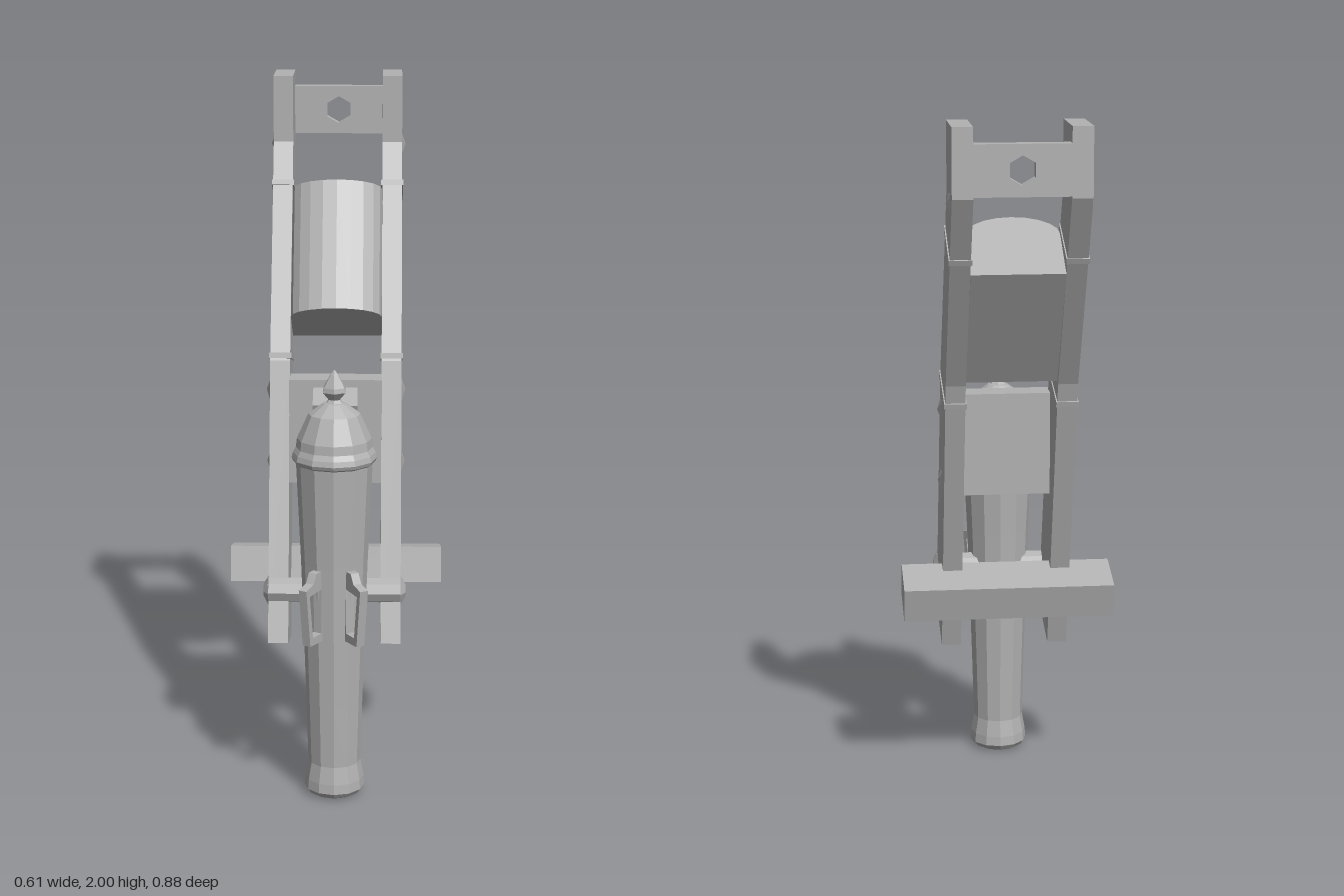
import * as THREE from 'three';

export function createModel() {
  const model = new THREE.Group();
  model.name = 'cannonOnCarriage';
  const grey = new THREE.MeshStandardMaterial({ color: 0xb2b2b2, flatShading: true });
  grey.name = 'plain grey';

  const add = (name, geometry, x = 0, y = 0, z = 0) => {
    const mesh = new THREE.Mesh(geometry, grey);
    mesh.name = name;
    mesh.position.set(x, y, z);
    model.add(mesh);
    return mesh;
  };
  const shapeOf = pts => new THREE.Shape(pts.map(p => new THREE.Vector2(...p)));
  const extrude = (shape, depth) => new THREE.ExtrudeGeometry(shape, { depth, bevelEnabled: false });
  // Plate drawn as (z, y) points, with its thickness centred along x
  const sidePlate = (shape, width) => extrude(shape, width).translate(0, 0, -width / 2).rotateY(-Math.PI / 2);

  // Barrel standing muzzle down
  const AXIS = 0.29;
  const lathe = (pts, sides) => new THREE.LatheGeometry(pts.map(p => new THREE.Vector2(...p)), sides);
  add('barrel', lathe([
    [0, 0.012], [0.06, 0], [0.076, 0.008], [0.086, 0.022], [0.084, 0.05], [0.075, 0.1], [0.08, 0.28],
    [0.089, 0.56], [0.094, 0.7], [0.107, 0.985], [0.115, 0.99], [0.119, 1.0],
    [0.115, 1.015], [0.107, 1.03], [0.104, 1.055], [0.072, 1.125], [0.03, 1.155], [0, 1.16],
  ], 12), 0, 0, AXIS);
  add('breechKnob', lathe([
    [0.03, 1.15], [0.017, 1.165], [0.036, 1.187], [0.033, 1.2], [0.012, 1.235], [0, 1.25],
  ], 6), 0, 0, AXIS);

  for (const s of [1, -1]) {
    // Cheek of the carriage
    add(s > 0 ? 'leftCheek' : 'rightCheek', sidePlate(shapeOf([
      [0.085, 0.4], [0.317, 0.46], [0.075, 1.225], [-0.24, 1.81],
      [-0.24, 2], [-0.44, 2], [-0.44, 1.81], [-0.153, 1.247],
    ]), 0.057), s * 0.159);

    // Iron straps around the cheek
    for (const [z1, y1, z2, y2] of [[0.073, 1.24, -0.141, 1.185], [-0.178, 1.7, -0.352, 1.628]]) {
      const strap = add('strap', new THREE.BoxGeometry(0.064, 0.016, Math.hypot(z1 - z2, y1 - y2)),
        s * 0.159, (y1 + y2) / 2, (z1 + z2) / 2);
      strap.rotation.x = -Math.atan2(y1 - y2, z1 - z2);
    }

    // Pyramid bolt heads
    for (const [z, y] of [[-0.365, 1.79], [0.048, 1.136], [0.048, 0.924]]) {
      const bolt = new THREE.ConeGeometry(0.042, 0.012, 4).rotateY(Math.PI / 4).rotateZ(-s * Math.PI / 2);
      add('boltHead', bolt, s * 0.193, y, z);
    }

    // Trunnion with its tapered end
    add('trunnion', new THREE.CylinderGeometry(0.036, 0.036, 0.15, 8).rotateZ(Math.PI / 2), s * 0.115, 0.6, 0.26);
    add('trunnionCap', new THREE.CylinderGeometry(0.018, 0.045, 0.014, 6).rotateZ(-s * Math.PI / 2), s * 0.194, 0.6, 0.26);

    // Lifting handle on the barrel
    const loop = shapeOf([[0.075, 0.485], [0.148, 0.488], [0.168, 0.655], [0.13, 0.665], [0.115, 0.692], [0.075, 0.692]]);
    loop.holes.push(shapeOf([[0.09, 0.51], [0.09, 0.64], [0.15, 0.635], [0.134, 0.51]]));
    add('liftingHandle', sidePlate(loop, 0.025), 0, 0, AXIS).rotation.y = s * 0.53;
  }

  // Rear crossbar with a hexagonal hole
  const bar = shapeOf([[-0.132, -0.07], [0.132, -0.07], [0.132, 0.07], [-0.132, 0.07]]);
  bar.holes.push(shapeOf(Array.from({ length: 6 }, (_, i) =>
    [0.04 * Math.sin(i * Math.PI / 3), 0.04 * Math.cos(i * Math.PI / 3)])));
  add('rearCrossbar', extrude(bar, 0.04), 0, 1.885, -0.44);

  // Bed block with a rounded front
  const bed = [[-0.13, -0.25], [0.13, -0.25]];
  for (let i = 0; i <= 10; i++) {
    const t = Math.PI / 2 - i * Math.PI / 10;
    bed.push([0.13 * Math.sin(t), -0.075 * (1 - Math.cos(t))]);
  }
  add('bedBlock', extrude(shapeOf(bed), 0.391), 0, 1.717, -0.116).rotation.x = 1.046;

  // Transom between the cheeks and the wedge under the breech
  add('transom', new THREE.BoxGeometry(0.264, 0.303, 0.08), 0, 1.028, 0.08);
  add('wedge', sidePlate(shapeOf([[0.1, 1.01], [0.16, 1.01], [0.203, 1.125], [0.12, 1.158], [0.1, 1.158]]), 0.126));

  // Axle beam
  add('axle', new THREE.BoxGeometry(0.614, 0.103, 0.152), 0, 0.597, -0.005).rotation.x = -0.245;

  return model;
}
